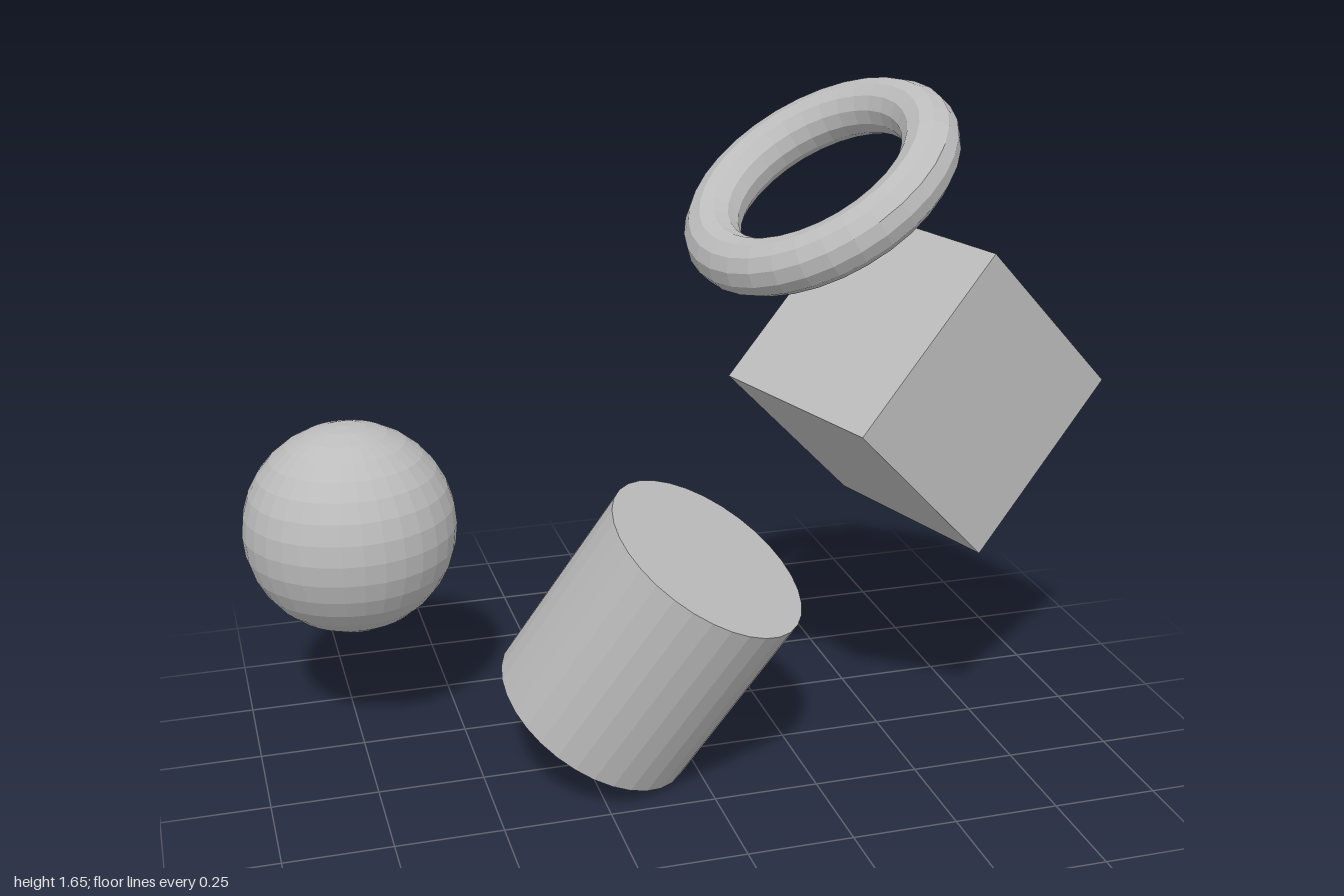
import * as THREE from 'three';

const S = 0.512; // common size of the solids

export function createModel() {
  const group = new THREE.Group();
  const grey = new THREE.MeshStandardMaterial({ color: 0xbcbcbc, flatShading: true });
  grey.name = 'light grey';

  const add = (name, geometry, x, y, z) => {
    const mesh = new THREE.Mesh(geometry, grey);
    mesh.name = name;
    mesh.position.set(x, y, z);
    group.add(mesh);
    return mesh;
  };
  // turn a mesh so that its own axis points along a direction
  const aim = (mesh, axis, x, y, z) =>
    mesh.quaternion.setFromUnitVectors(axis, new THREE.Vector3(x, y, z).normalize());

  // Ball
  add('sphere', new THREE.SphereGeometry(S / 2, 32, 16), -0.745, 0.55, -0.325);

  // Leaning cylinder
  const cylinder = add('cylinder', new THREE.CylinderGeometry(S / 2, S / 2, S, 32), -0.106, 0.358, 0.07);
  aim(cylinder, new THREE.Vector3(0, 1, 0), 0.462, 0.838, 0.292);

  // Cube turned on its edge, given by the directions of two of its edges
  const cube = add('cube', new THREE.BoxGeometry(S, S, S), 0.575, 0.9, -0.022);
  const front = new THREE.Vector3(0.155, -0.003, 0.489).normalize();
  const side = new THREE.Vector3(0.347, -0.363, -0.11);
  side.addScaledVector(front, -side.dot(front)).normalize();
  const up = new THREE.Vector3().crossVectors(front, side);
  cube.quaternion.setFromRotationMatrix(new THREE.Matrix4().makeBasis(side, up, front));

  // Tilted ring
  const ring = add('ring', new THREE.TorusGeometry(S / 2, S * 0.12, 12, 32), 0.22, 1.453, 0.26);
  aim(ring, new THREE.Vector3(0, 0, 1), -0.53, 0.83, 0.15);

  return group;
}
